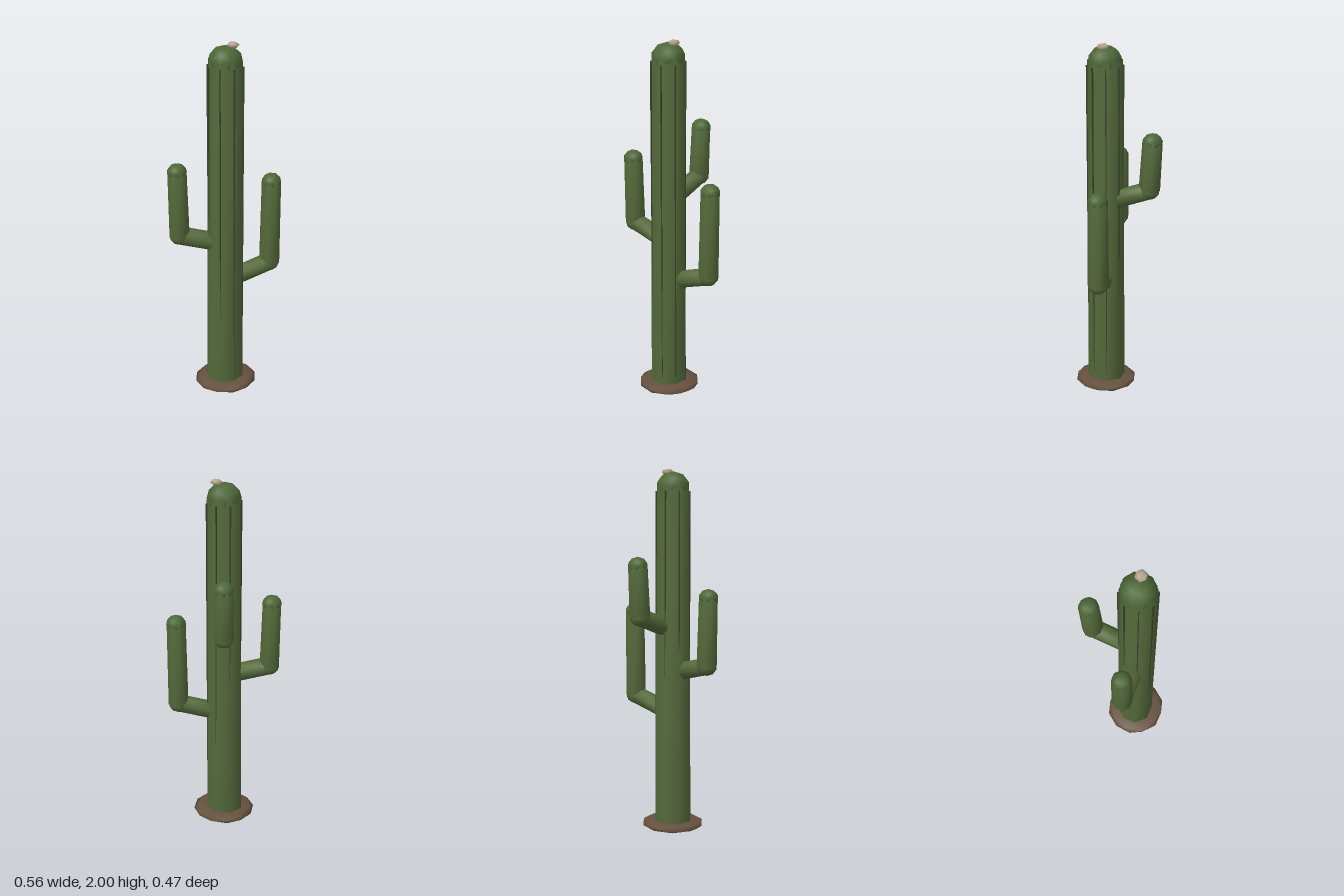
import * as THREE from 'three';
import { mergeVertices } from 'three/addons/utils/BufferGeometryUtils.js';

const flesh = new THREE.MeshStandardMaterial({ name: 'cactusGreen', color: 0x556a3b });
const tipGreen = new THREE.MeshStandardMaterial({ name: 'tipGreen', color: 0x4c6737 });
const ribGreen = new THREE.MeshStandardMaterial({ name: 'ribGreen', color: 0x36452a });
const soil = new THREE.MeshStandardMaterial({ name: 'soilBrown', color: 0x65513f });
const petal = new THREE.MeshStandardMaterial({ name: 'flowerCream', color: 0xb8a88f });

// Shares normals over every edge, so low-poly shapes shade softly
function soften(geometry) {
  geometry.deleteAttribute('uv');
  geometry.deleteAttribute('normal');
  const merged = mergeVertices(geometry, 1e-4);
  merged.computeVertexNormals();
  return merged;
}

function add(parent, name, geometry, material, x, y, z) {
  const mesh = new THREE.Mesh(geometry, material);
  mesh.name = name;
  mesh.position.set(x, y, z);
  parent.add(mesh);
  return mesh;
}

// Tapered stem between two points
function stem(parent, name, from, to, r0, r1, sides) {
  const dir = to.clone().sub(from);
  const mid = from.clone().add(to).multiplyScalar(0.5);
  const geometry = soften(new THREE.CylinderGeometry(r1, r0, dir.length(), sides));
  const mesh = add(parent, name, geometry, flesh, mid.x, mid.y, mid.z);
  mesh.quaternion.setFromUnitVectors(new THREE.Vector3(0, 1, 0), dir.normalize());
  return mesh;
}

function ball(parent, name, r, ry, material, x, y, z) {
  const geometry = soften(new THREE.IcosahedronGeometry(1, 1).scale(r, ry, r));
  return add(parent, name, geometry, material, x, y, z);
}

export function createModel() {
  const cactus = new THREE.Group();
  cactus.name = 'cactus';
  const cx = 0.005, cz = 0.06;
  const v = (x, y, z) => new THREE.Vector3(x, y, z);

  // Soil mound
  const mound = ball(cactus, 'soilMound', 0.175, 0.029, soil, cx, 0.033, cz);
  mound.rotation.z = 0.02;

  // Trunk with domed top
  stem(cactus, 'trunk', v(cx - 0.005, 0.03, cz), v(cx, 1.91, cz), 0.106, 0.093, 8);
  ball(cactus, 'trunkTop', 0.092, 0.086, tipGreen, cx, 1.9, cz);

  // Thin upright ribs
  for (let i = 0; i < 8; i++) {
    const a = (i * Math.PI) / 4;
    const rib = add(cactus, 'rib', new THREE.BoxGeometry(0.006, 1.78, 0.009), ribGreen,
      cx + Math.sin(a) * 0.096, 0.99, cz + Math.cos(a) * 0.096);
    rib.rotation.y = a;
  }

  // Arms: sloping branch, elbow, upright and domed tip
  const arms = [
    { name: 'leftArm', root: v(0.075, 0.685, 0.012), elbow: v(0.218, 0.738, -0.085), top: v(0.222, 1.225, -0.088) },
    { name: 'rightArm', root: v(-0.055, 0.905, 0.095), elbow: v(-0.222, 0.95, 0.17), top: v(-0.228, 1.325, 0.175) },
    { name: 'backArm', root: v(-0.025, 1.15, -0.01), elbow: v(-0.1, 1.215, -0.165), top: v(-0.106, 1.495, -0.178) },
  ];
  for (const { name, root, elbow, top } of arms) {
    const arm = new THREE.Group();
    arm.name = name;
    stem(arm, 'branch', root, elbow, 0.05, 0.05, 8);
    ball(arm, 'elbow', 0.056, 0.052, flesh, elbow.x, elbow.y, elbow.z);
    stem(arm, 'upright', elbow, top, 0.058, 0.054, 8);
    ball(arm, 'tip', 0.054, 0.05, tipGreen, top.x, top.y - 0.01, top.z);
    cactus.add(arm);
  }

  // Small flower on the crown
  const flower = soften(new THREE.IcosahedronGeometry(1, 0).scale(0.034, 0.018, 0.034));
  add(cactus, 'flower', flower, petal, 0.041, 1.984, 0.042);

  return cactus;
}
